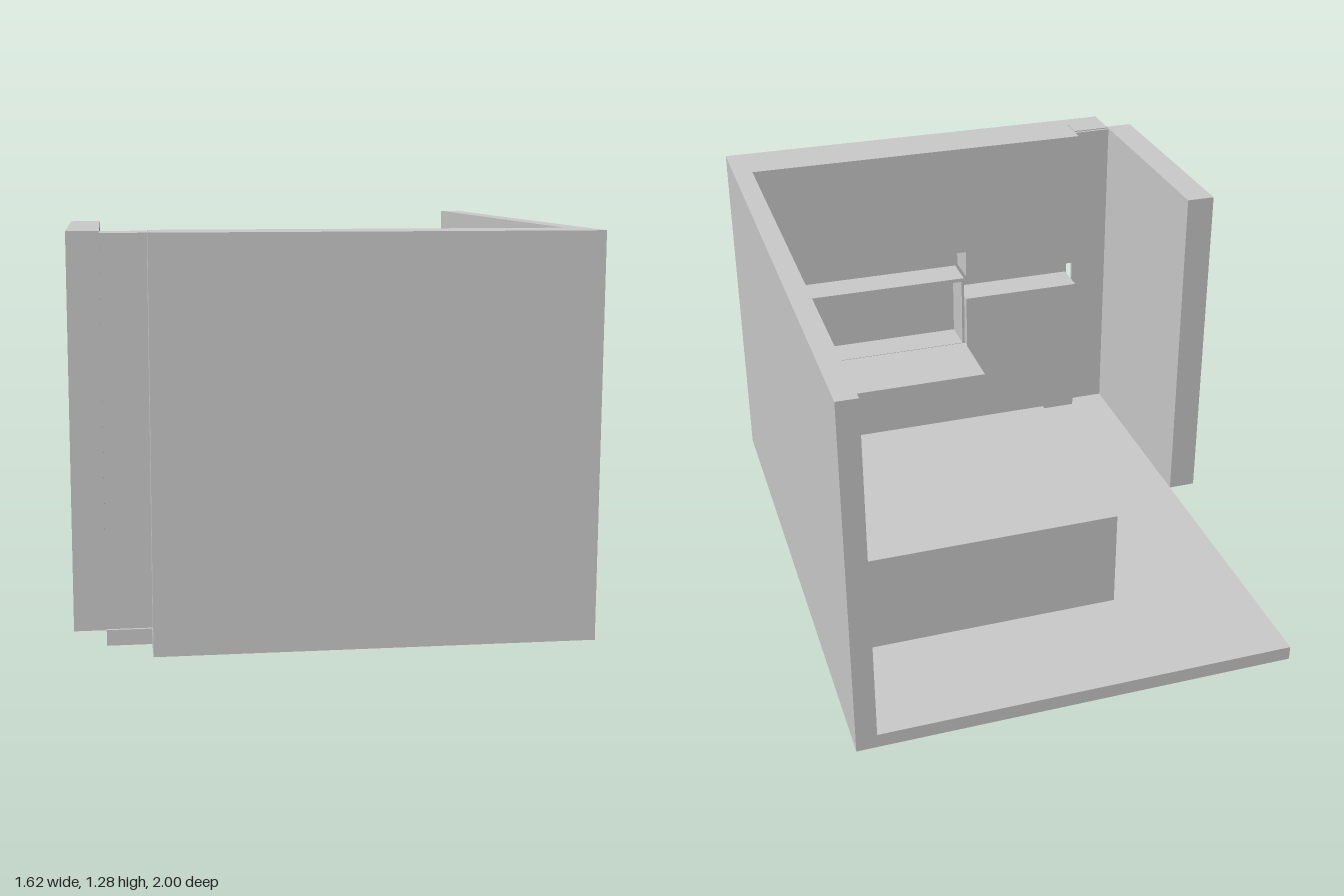
import * as THREE from 'three';

const material = new THREE.MeshStandardMaterial({ color: 0xcccccc, flatShading: true, side: THREE.DoubleSide });

export function createModel() {
  const room = new THREE.Group();
  room.name = 'room';

  // Box given by its minimum and maximum on each axis
  function box(name, x0, x1, y0, y1, z0, z1) {
    const mesh = new THREE.Mesh(new THREE.BoxGeometry(x1 - x0, y1 - y0, z1 - z0), material);
    mesh.position.set((x0 + x1) / 2, (y0 + y1) / 2, (z0 + z1) / 2);
    mesh.name = name;
    room.add(mesh);
  }

  // Outline in x and y, extruded from z0 to z1
  function slab(name, points, z0, z1) {
    const shape = new THREE.Shape(points.map(([x, y]) => new THREE.Vector2(x, y)));
    const geometry = new THREE.ExtrudeGeometry(shape, { depth: z1 - z0, bevelEnabled: false });
    const mesh = new THREE.Mesh(geometry, material);
    mesh.position.z = z0;
    mesh.name = name;
    room.add(mesh);
    return mesh;
  }

  const top = 1.28, floorTop = 0.05;
  const cabinetFront = 0.8, wallInside = 0.93;

  // Floor with a notched entrance corner (outline turned to lie flat)
  const floor = slab('floor', [[-0.71, 1], [0.81, 1], [0.81, -1], [-0.57, -1], [-0.57, -0.87], [-0.71, -0.87]], 0, floorTop);
  floor.rotation.x = -Math.PI / 2;
  floor.position.set(0, 0, 0);

  // Walls
  box('leftWall', 0.74, 0.81, 0, top, -1, 1);
  box('frontWall', -0.57, 0.74, 0, top, wallInside, 1);
  box('rightWall', -0.81, -0.71, floorTop, top, 0.05, 0.87);

  // Recessed entrance with its thin canopy
  box('entrancePanel', -0.71, -0.565, floorTop, top - 0.004, 0.85, 0.86);
  box('entranceCanopy', -0.71, -0.57, top - 0.004, top, 0.86, 1);

  // Upper cabinet, cut out above the niche
  slab('upperCabinet', [
    [-0.565, 0.73], [-0.09, 0.73], [-0.09, 0.84], [0.61, 0.84],
    [0.61, 0.73], [0.74, 0.73], [0.74, top], [-0.565, top],
  ], cabinetFront, wallInside);

  // Lower cabinets, lowered behind the niche
  slab('lowerCabinet', [
    [-0.565, floorTop], [0.605, floorTop], [0.605, 0.415],
    [-0.09, 0.415], [-0.09, 0.63], [-0.565, 0.63],
  ], cabinetFront, wallInside);
  box('lowerSideCabinet', 0.61, 0.74, floorTop, 0.63, cabinetFront, wallInside);

  // Niche frame with a fold-down desk
  box('nicheShelf', -0.08, 0.6, 0.71, 0.725, cabinetFront, wallInside);
  box('nicheBase', -0.08, 0.6, 0.415, 0.43, cabinetFront, wallInside);
  for (const x of [-0.08, 0.59]) box('nicheSide', x, x + 0.01, 0.43, 0.71, cabinetFront, wallInside);
  box('foldDownDesk', -0.08, 0.6, 0.415, 0.43, 0.51, 0.797);

  // Bed against the left wall
  box('bed', -0.23, 0.74, floorTop, 0.41, -0.57, 0.23);

  return room;
}
